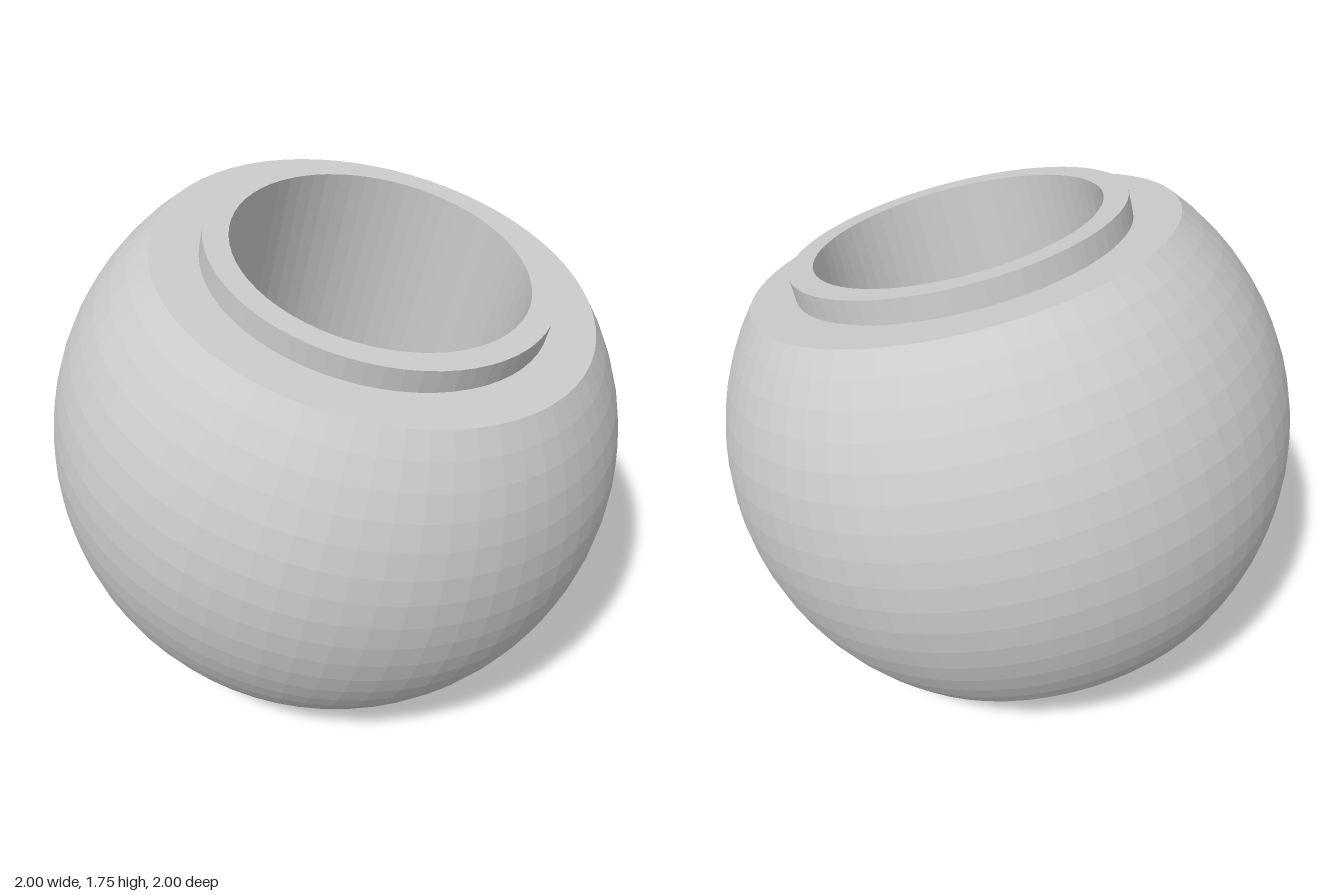
import * as THREE from 'three';

const SEGMENTS = 64, BANDS = 16;
const BALL_R = 1, SHOULDER_H = 0.668;              // ball and its flat cuts
const COLLAR_R = 0.584, BORE_R = 0.5, COLLAR_H = 0.75;
const TILT = THREE.MathUtils.degToRad(15);

export function createModel() {
  const material = new THREE.MeshStandardMaterial({ color: 0xcccccc, flatShading: true });
  const lathe = (name, points) => {
    const mesh = new THREE.Mesh(new THREE.LatheGeometry(points, SEGMENTS), material);
    mesh.name = name;
    return mesh;
  };
  const p = (x, y) => new THREE.Vector2(x, y);

  // Ball with flat shoulders cut at both ends
  const cut = Math.asin(SHOULDER_H / BALL_R);
  const ballProfile = [p(COLLAR_R, -SHOULDER_H)];
  for (let i = 0; i <= BANDS; i++) {
    const a = -cut + (2 * cut * i) / BANDS;
    ballProfile.push(p(BALL_R * Math.cos(a), BALL_R * Math.sin(a)));
  }
  ballProfile.push(p(COLLAR_R, SHOULDER_H));

  // Sleeve: raised collar at each end joined by the through bore
  const sleeveProfile = [
    p(COLLAR_R, SHOULDER_H), p(COLLAR_R, COLLAR_H), p(BORE_R, COLLAR_H),
    p(BORE_R, -COLLAR_H), p(COLLAR_R, -COLLAR_H), p(COLLAR_R, -SHOULDER_H),
  ];

  // The whole joint leans forward, its lowest collar edge on the ground
  const joint = new THREE.Group();
  joint.name = 'tiltedBallJoint';
  joint.add(lathe('ballBody', ballProfile), lathe('boreSleeve', sleeveProfile));
  joint.rotation.x = TILT;
  joint.position.y = COLLAR_H * Math.cos(TILT) + COLLAR_R * Math.sin(TILT);

  const model = new THREE.Group();
  model.name = 'sphericalBearingBall';
  model.add(joint);
  return model;
}
